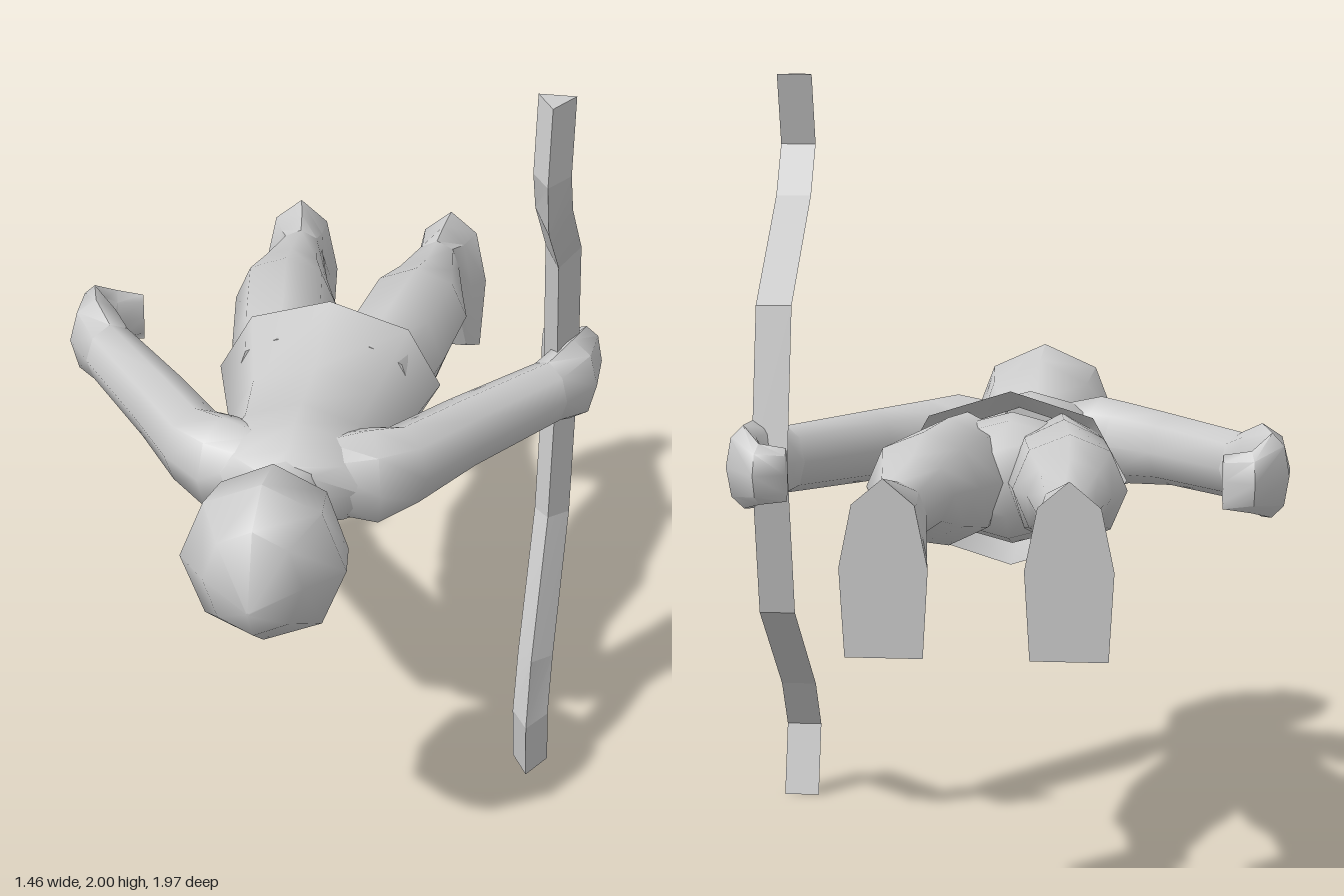
import * as THREE from 'three';
import { toCreasedNormals } from 'three/addons/utils/BufferGeometryUtils.js';

const SIDES = 8;
const material = new THREE.MeshStandardMaterial({ color: 0xcccccc, side: THREE.DoubleSide });

// Ring: [x0, z0, x1, z1, yLow, yHigh, squareBottom] = ends of its horizontal axis and its height span.
function ringPoints([x0, z0, x1, z1, lo, hi, square]) {
  const points = [];
  for (let j = 0; j < SIDES; j++) {
    const t = (j / SIDES) * Math.PI * 2;
    let u = Math.cos(t), v = Math.sin(t);
    if (square && v < -0.5) {
      u = Math.sign(Math.round(u * 10)) * 0.88;
      v = -1;
    }
    points.push([
      (x0 + x1) / 2 + (u * (x1 - x0)) / 2,
      (lo + hi) / 2 + (v * (hi - lo)) / 2,
      (z0 + z1) / 2 + (u * (z1 - z0)) / 2,
    ]);
  }
  return points;
}

// Skin a list of equal rings of points, running from front to back, with optional end caps.
function skin(rings, { mirror = 1, capStart = true, capEnd = true, crease = 1 } = {}) {
  const n = rings[0].length, last = rings.length - 1;
  const vertices = rings.flat();
  const index = [];
  const tri = (a, b, c) => (mirror > 0 ? index.push(a, b, c) : index.push(a, c, b));
  for (let i = 0; i < last; i++) {
    for (let j = 0; j < n; j++) {
      const k = (j + 1) % n;
      const a = i * n + j, b = a + n, c = i * n + k, d = c + n;
      tri(a, b, c);
      tri(c, b, d);
    }
  }
  const cap = (i, isEnd) => {
    const centre = [0, 1, 2].map((e) => rings[i].reduce((s, p) => s + p[e], 0) / n);
    const m = vertices.push(centre) - 1;
    for (let j = 0; j < n; j++) {
      const a = i * n + j, b = i * n + ((j + 1) % n);
      isEnd ? tri(m, b, a) : tri(m, a, b);
    }
  };
  if (capStart) cap(0, false);
  if (capEnd) cap(last, true);
  const geometry = new THREE.BufferGeometry();
  const position = vertices.flatMap(([x, y, z]) => [x * mirror, y, z]);
  geometry.setAttribute('position', new THREE.Float32BufferAttribute(position, 3));
  geometry.setIndex(index);
  return toCreasedNormals(geometry, crease);
}

// Ring centred on x = 0.
const mid = (z, halfWidth, lo, hi) => [-halfWidth, z, halfWidth, z, lo, hi];
// Ring across one leg.
const across = (z, inner, outer, lo, hi, square) => [inner, z, outer, z, lo, hi, square];

export function createModel() {
  const model = new THREE.Group();
  model.name = 'proneArcher';
  const add = (name, geometry) => {
    const mesh = new THREE.Mesh(geometry, material);
    mesh.name = name;
    model.add(mesh);
  };
  const loft = (rings, options) => skin(rings.map(ringPoints), options);

  // Head, with the chin hanging lower at the neck end
  add('head', loft([
    mid(0.985, 0.004, 0.945, 0.955),
    mid(0.92, 0.125, 0.845, 1.145),
    mid(0.79, 0.21, 0.745, 1.2),
    mid(0.64, 0.19, 0.715, 1.17),
    mid(0.54, 0.13, 0.735, 1.07),
    mid(0.485, 0.075, 0.77, 0.89),
  ]));

  add('neck', loft([mid(0.6, 0.085, 0.91, 1.07), mid(0.42, 0.1, 0.9, 1.08)]));

  // Tunic, open at the hem
  add('tunic', loft([
    mid(0.49, 0.09, 0.9, 1.07),
    mid(0.44, 0.2, 0.865, 1.09),
    mid(0.35, 0.235, 0.815, 1.12),
    mid(0.25, 0.21, 0.79, 1.12),
    mid(0.05, 0.235, 0.75, 1.115),
    mid(-0.185, 0.305, 0.73, 1.19),
  ], { capEnd: false }));

  add('pelvis', loft([
    mid(0.02, 0.2, 0.8, 1.09),
    mid(-0.14, 0.27, 0.78, 1.13),
    mid(-0.24, 0.24, 0.81, 1.12),
    mid(-0.31, 0.1, 0.88, 1.06),
  ]));

  for (const [side, mirror] of [['left', 1], ['right', -1]]) {
    // Arm running from the shoulder to the wrist
    add(side + 'Arm', loft([
      [0.06, 0.25, 0.08, 0.475, 0.89, 1.08],
      [0.16, 0.23, 0.24, 0.44, 0.84, 1.11],
      [0.21, 0.22, 0.345, 0.355, 0.875, 1.1],
      [0.345, 0.05, 0.465, 0.185, 0.9, 1.095],
      [0.545, -0.19, 0.66, -0.09, 0.905, 1.085],
    ], { mirror }));

    // Mitten hand curled inwards
    add(side + 'Hand', loft([
      [0.545, -0.19, 0.66, -0.09, 0.905, 1.085],
      [0.585, -0.235, 0.73, -0.19, 0.875, 1.12],
      [0.64, -0.3, 0.73, -0.325, 0.89, 1.11],
      [0.625, -0.325, 0.645, -0.41, 0.91, 1.07],
      [0.56, -0.365, 0.565, -0.38, 0.92, 1.06],
    ], { mirror }));

    add(side + 'Leg', loft([
      across(-0.08, 0, 0.25, 0.8, 1.12),
      across(-0.3, 0.005, 0.295, 0.8, 1.135),
      across(-0.53, 0.04, 0.33, 0.85, 1.13),
      across(-0.665, 0.09, 0.3, 0.9, 1.09),
      across(-0.85, 0.135, 0.265, 0.9, 1.055),
    ], { mirror, capEnd: false }));

    // Foot flaring to a flat sole with square toes
    add(side + 'Foot', loft([
      across(-0.85, 0.135, 0.265, 0.9, 1.055),
      across(-0.92, 0.125, 0.295, 0.68, 1.07, true),
      across(-0.985, 0.115, 0.33, 0.65, 1.085, true),
    ], { mirror, capStart: false, crease: 0.7 }));
  }

  // Upper half of the bow: [y and z of the front ridge, y and z of the flat back]
  const upper = [
    [2, 0.24, 2, 0.155],
    [1.81, 0.29, 1.81, 0.21],
    [1.645, 0.215, 1.675, 0.125],
    [1.385, -0.11, 1.41, -0.195],
    [1, -0.2, 1, -0.285],
  ];
  const lower = upper.slice(0, -1).reverse().map(([ry, rz, by, bz]) => [2 - ry, rz, 2 - by, bz]);
  const bowRings = [...upper, ...lower].map(([ry, rz, by, bz]) => [
    [0.62, ry, rz], [0.575, by, bz], [0.67, by, bz],
  ]);
  add('bow', skin(bowRings.map((r) => [r[0], r[2], r[1]]), { mirror: 1, crease: 0.2 }));
  // Ring order above runs ridge, outer, inner; reverse it if the faces point inwards
  const bow = model.getObjectByName('bow');
  const p = bow.geometry.getAttribute('position');
  const [a, b, c] = [0, 1, 2].map((i) => new THREE.Vector3().fromBufferAttribute(p, i));
  const normal = b.clone().sub(a).cross(c.clone().sub(a));
  const outward = a.clone().add(b).add(c).divideScalar(3).sub(new THREE.Vector3(0.62, 1.905, 0.2));
  if (normal.dot(outward) < 0) bow.geometry = skin(bowRings, { crease: 0.2 });

  return model;
}
